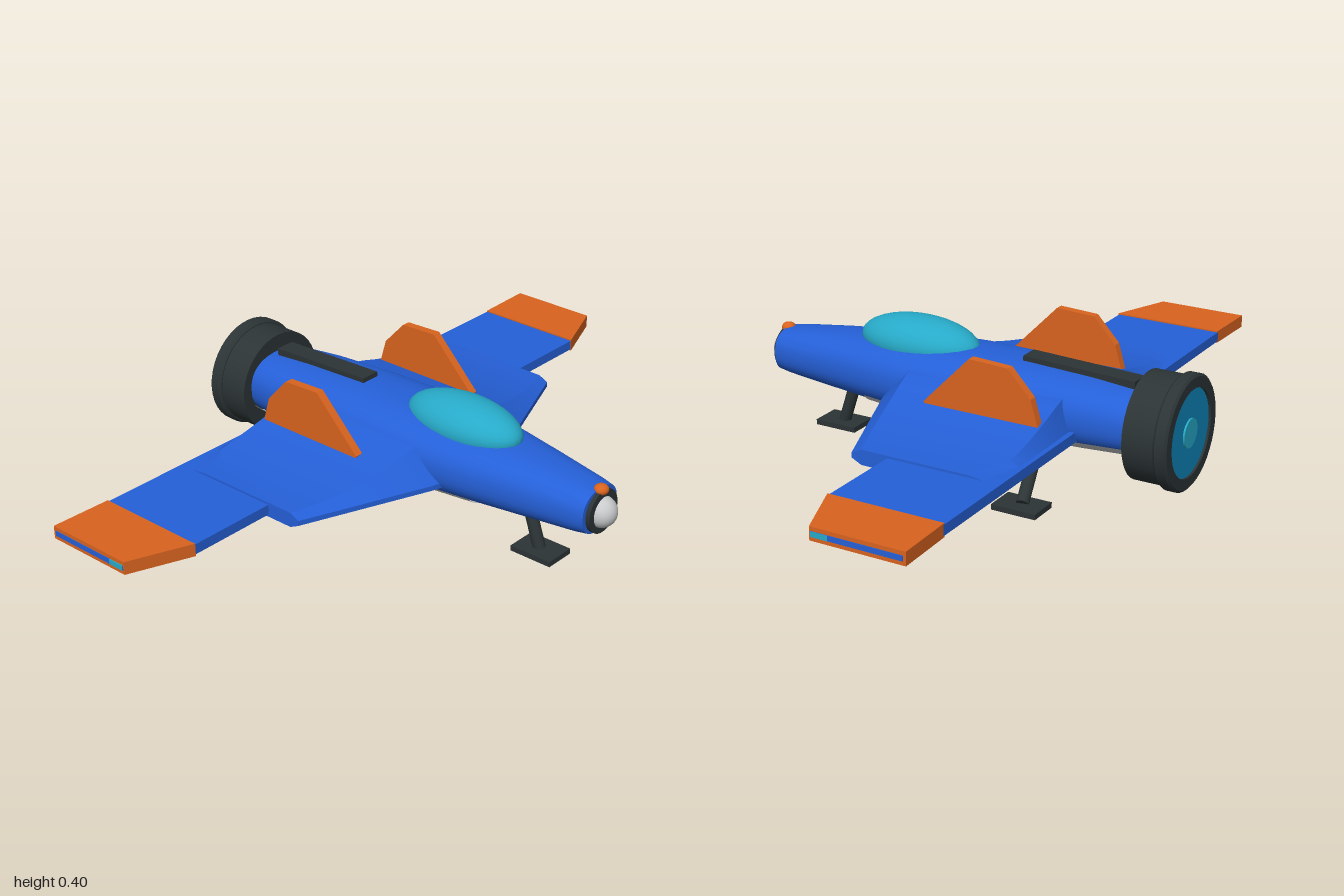
import * as THREE from 'three';
import { toCreasedNormals } from 'three/addons/utils/BufferGeometryUtils.js';

const mat = (name, color, side = THREE.FrontSide) => {
  const m = new THREE.MeshStandardMaterial({ color, side });
  m.name = name;
  return m;
};

// Skin a list of cross-sections; closed rings get end caps.
function loft(rings, closed = true, crease = 0.5) {
  const n = rings[0].length, pos = rings.flat(2), idx = [];
  for (let i = 0; i < rings.length - 1; i++) {
    for (let j = 0; j < (closed ? n : n - 1); j++) {
      const a = i * n + j, b = i * n + (j + 1) % n;
      idx.push(a, b, b + n, a, b + n, a + n);
    }
  }
  if (closed) {
    [0, rings.length - 1].forEach((r, end) => {
      const c = pos.length / 3;
      for (let k = 0; k < 3; k++) pos.push(rings[r].reduce((s, p) => s + p[k], 0) / n);
      for (let j = 0; j < n; j++) {
        const a = r * n + j, b = r * n + (j + 1) % n;
        end ? idx.push(c, a, b) : idx.push(c, b, a);
      }
    });
  }
  const g = new THREE.BufferGeometry();
  g.setAttribute('position', new THREE.Float32BufferAttribute(pos, 3));
  g.setIndex(idx);
  return toCreasedNormals(g, crease);
}

// Fuselage stations: z, half width, bottom y, top y
const STATIONS = [
  [-0.57, 0.12, 0.13, 0.308], [-0.4, 0.142, 0.124, 0.322], [-0.2, 0.157, 0.12, 0.33],
  [0, 0.164, 0.119, 0.33], [0.15, 0.158, 0.121, 0.325], [0.3, 0.136, 0.126, 0.316],
  [0.45, 0.11, 0.133, 0.302], [0.6, 0.086, 0.142, 0.284], [0.64, 0.077, 0.147, 0.277],
];
function station(z) {
  const i = Math.max(1, STATIONS.findIndex(s => s[0] >= z - 1e-6));
  const a = STATIONS[i - 1], b = STATIONS[i], t = (z - a[0]) / (b[0] - a[0]);
  return a.map((v, k) => v + (b[k] - v) * t);
}
// Rounded-square cross-section between two angles in degrees
function hullRing(z, from, to, count, grow = 0) {
  const [, w, lo, hi] = station(z), ring = [];
  const soft = v => Math.sign(v) * Math.pow(Math.abs(v), 0.82);
  for (let j = 0; j < count; j++) {
    const a = THREE.MathUtils.degToRad(from + (to - from) * j / (count - 1));
    ring.push([(w + grow) * soft(Math.cos(a)), (lo + hi) / 2 + ((hi - lo) / 2 + grow) * soft(Math.sin(a)), z]);
  }
  return ring;
}

// Wing edges as functions of span
const leading = x => 0.2 - 0.394 * (Math.abs(x) - 0.15);
const trailing = x => -0.385 - 0.03 * (Math.abs(x) - 0.15);
const wingRing = (x, top = 0.197, low = 0.167) => [
  [x, top, trailing(x)], [x, top, leading(x)], [x, low, leading(x)], [x, low, trailing(x)],
];
// Thick wing root that sweeps up into the fuselage
function rootRing(x) {
  const ax = Math.max(Math.abs(x), 0.14);
  const k = Math.pow((0.545 - ax) / 0.4, 1.8);
  const top = 0.204 + 0.076 * k;
  const low = Math.abs(x) < 0.1 ? 0.17 : 0.16 - 0.018 * k;
  const zl = leading(ax) + 0.004, zt = trailing(ax) - 0.006;
  const front = zl - 0.03 - 0.055 * Math.min(1, k), back = zt + 0.03 + 0.06 * THREE.MathUtils.smoothstep(ax, 0.4, 0.545);
  return [[x, top, back], [x, top, front], [x, 0.19, zl], [x, 0.175, zl],
    [x, low, front], [x, low, back], [x, 0.175, zt], [x, 0.19, zt]];
}

export function createModel() {
  const model = new THREE.Group();
  const blue = mat('hull blue', 0x2560d8);
  const orange = mat('trim orange', 0xd9641f);
  const dark = mat('dark metal', 0x2c3436);
  const teal = mat('canopy teal', 0x27aac8);
  const grey = mat('light grey', 0xc8cacc, THREE.DoubleSide);
  const glow = mat('engine blue', 0x0f86bd);

  const add = (name, geometry, material, x = 0, y = 0, z = 0) => {
    const m = new THREE.Mesh(geometry, material);
    m.name = name;
    m.position.set(x, y, z);
    model.add(m);
    return m;
  };
  const ball = (name, material, rx, ry, rz, x, y, z) =>
    add(name, new THREE.SphereGeometry(1, 32, 20), material, x, y, z).scale.set(rx, ry, rz);
  const drum = (name, material, r, len, y, z) =>
    add(name, new THREE.CylinderGeometry(r, r, len, 40), material, 0, y, z).rotation.x = Math.PI / 2;

  // Fuselage and belly plate
  const hullZ = STATIONS.map(s => s[0]);
  add('fuselage', loft(hullZ.map(z => hullRing(z, 0, 360 * 39 / 40, 40)), true, 0.7), blue);
  const bellyZ = [-0.555, -0.4, -0.2, 0, 0.15, 0.29];
  add('bellyPlate', loft(bellyZ.map(z => hullRing(z, 210, 330, 20, 0.004)), false), grey);

  // Nose
  drum('noseRing', dark, 0.064, 0.025, 0.21, 0.64);
  ball('noseCone', grey, 0.044, 0.046, 0.046, 0, 0.208, 0.645);
  ball('noseLight', orange, 0.021, 0.016, 0.021, 0, 0.274, 0.642);

  // Canopy and spine
  ball('canopy', teal, 0.097, 0.077, 0.193, 0, 0.315, 0.172);
  add('spineVent', new THREE.BoxGeometry(0.06, 0.03, 0.345), dark, 0, 0.323, -0.355).rotation.x = -0.035;

  // Engine
  drum('engineHousing', dark, 0.155, 0.095, 0.205, -0.6);
  const rim = [[0.127, 0], [0.158, 0], [0.165, 0.006], [0.165, 0.034], [0.158, 0.042], [0.127, 0.042], [0.127, 0]];
  const rimGeo = toCreasedNormals(new THREE.LatheGeometry(rim.map(p => new THREE.Vector2(...p)), 40), 0.5);
  add('engineRim', rimGeo, dark, 0, 0.205, -0.687).rotation.x = Math.PI / 2;
  drum('engineGlow', glow, 0.128, 0.04, 0.205, -0.66);
  drum('engineCore', teal, 0.042, 0.006, 0.205, -0.682);

  // Wings
  add('wing', loft([-0.82, 0.82].map(x => wingRing(x))), blue);
  const span = [0.545, 0.51, 0.47, 0.42, 0.37, 0.32, 0.27, 0.22, 0.17, 0.13, 0.08];
  const rootX = [...span.map(x => -x), ...[...span].reverse()];
  add('wingRoot', loft(rootX.map(rootRing), true, 0.3), blue);

  // Fin outline: -z, y
  const finShape = new THREE.Shape([[0, 0.25], [0.02, 0.22], [0.365, 0.22], [0.335, 0.32], [0.265, 0.395], [0.145, 0.4]]
    .map(p => new THREE.Vector2(...p)));
  const finGeo = new THREE.ExtrudeGeometry(finShape, { depth: 0.025, bevelEnabled: false });
  finGeo.translate(0, 0, -0.0125).rotateY(Math.PI / 2);

  // Strut with a flat foot
  const landingLeg = (name, top, foot) => {
    const a = new THREE.Vector3(...top), b = new THREE.Vector3(...foot), d = b.clone().sub(a);
    const leg = add(name, new THREE.CylinderGeometry(0.018, 0.018, d.length(), 16), dark);
    leg.position.copy(a).lerp(b, 0.5);
    leg.quaternion.setFromUnitVectors(new THREE.Vector3(0, 1, 0), d.normalize());
    add(name + 'Foot', new THREE.BoxGeometry(0.095, 0.016, 0.136), dark, foot[0], 0.008, foot[2] + 0.003);
  };
  landingLeg('frontLeg', [0, 0.15, 0.4], [0, 0.012, 0.445]);

  // Mirrored parts
  for (const s of [1, -1]) {
    const side = s > 0 ? 'left' : 'right';
    const tipX = s > 0 ? [0.815, 0.997] : [-0.997, -0.815];
    add(side + 'WingTip', loft(tipX.map(x => wingRing(x, 0.201, 0.163))), orange);
    add(side + 'TipStripe', new THREE.BoxGeometry(0.004, 0.015, 0.265), blue, s * 0.997, 0.182, -0.27);
    add(side + 'TipLight', new THREE.BoxGeometry(0.006, 0.015, 0.05), teal, s * 0.997, 0.182, -0.163);
    add(side + 'Fin', finGeo, orange, s * 0.25);
    landingLeg(side + 'RearLeg', [s * 0.1, 0.145, -0.278], [s * 0.265, 0.015, -0.315]);
  }
  return model;
}
